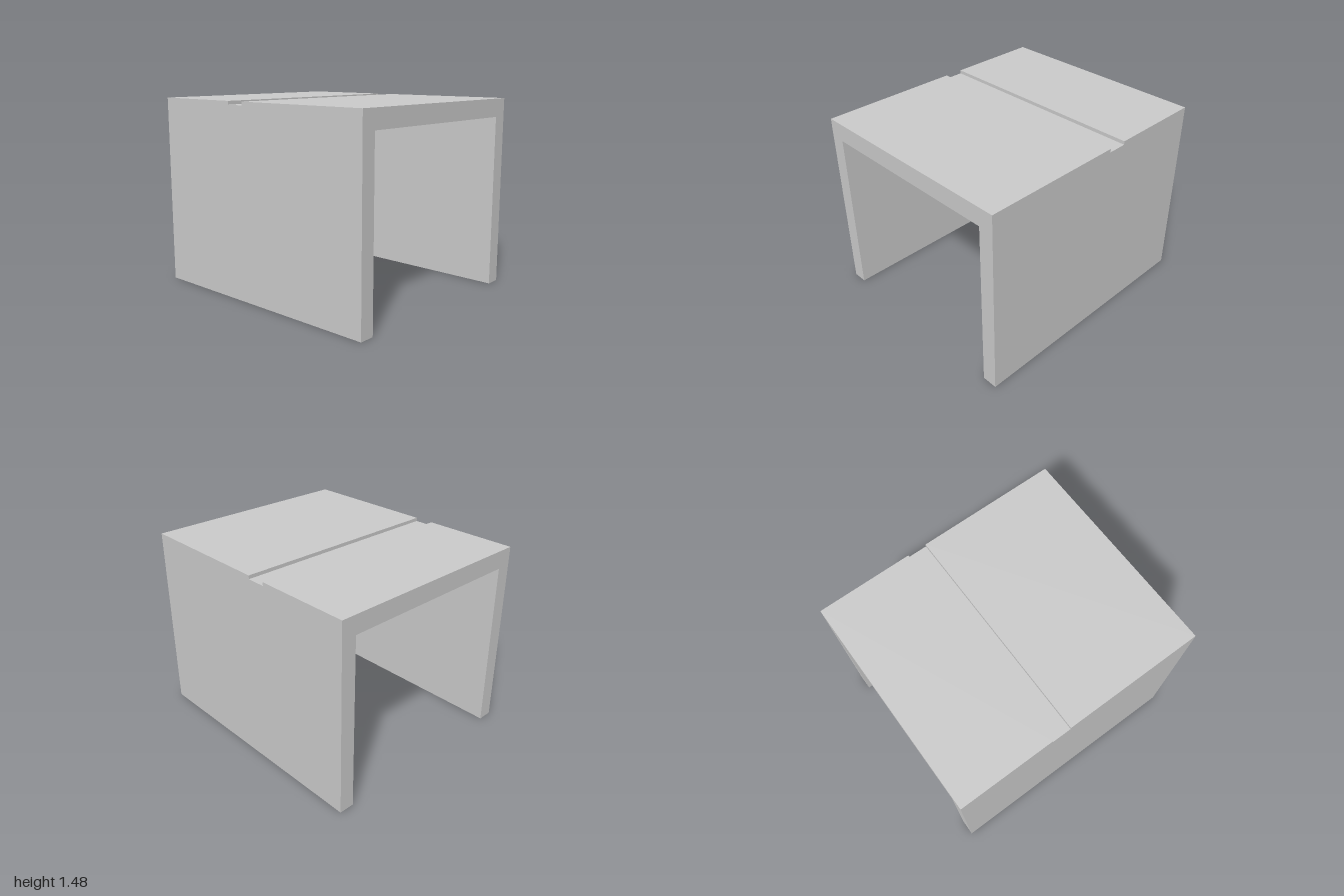
import * as THREE from 'three';

const WIDTH = 1.715, DEPTH = 2, HEIGHT = 1.475;
const UNDERSIDE = 1.335, WALL = 0.117;
const GROOVE = { front: -0.105, back: -0.255, floor: 1.448 };

export function createModel() {
  const group = new THREE.Group();
  const material = new THREE.MeshStandardMaterial({ color: 0xcccccc, flatShading: true });

  // Roof slab: side profile with a shallow groove, extruded across the width
  const h = DEPTH / 2;
  const profile = [
    [h, UNDERSIDE], [-h, UNDERSIDE], [-h, HEIGHT],
    [GROOVE.back, HEIGHT], [GROOVE.back, GROOVE.floor],
    [GROOVE.front, GROOVE.floor], [GROOVE.front, HEIGHT], [h, HEIGHT],
  ];
  const shape = new THREE.Shape(profile.map(([z, y]) => new THREE.Vector2(-z, y)));
  const roofGeometry = new THREE.ExtrudeGeometry(shape, { depth: WIDTH, bevelEnabled: false });
  roofGeometry.translate(0, 0, -WIDTH / 2).rotateY(Math.PI / 2);
  const roof = new THREE.Mesh(roofGeometry, material);
  roof.name = 'groovedRoof';
  group.add(roof);

  // Side walls, mirrored left and right
  for (const [name, side] of [['leftWall', 1], ['rightWall', -1]]) {
    const wall = new THREE.Mesh(new THREE.BoxGeometry(WALL, UNDERSIDE, DEPTH), material);
    wall.position.set(side * (WIDTH - WALL) / 2, UNDERSIDE / 2, 0);
    wall.name = name;
    group.add(wall);
  }
  return group;
}
